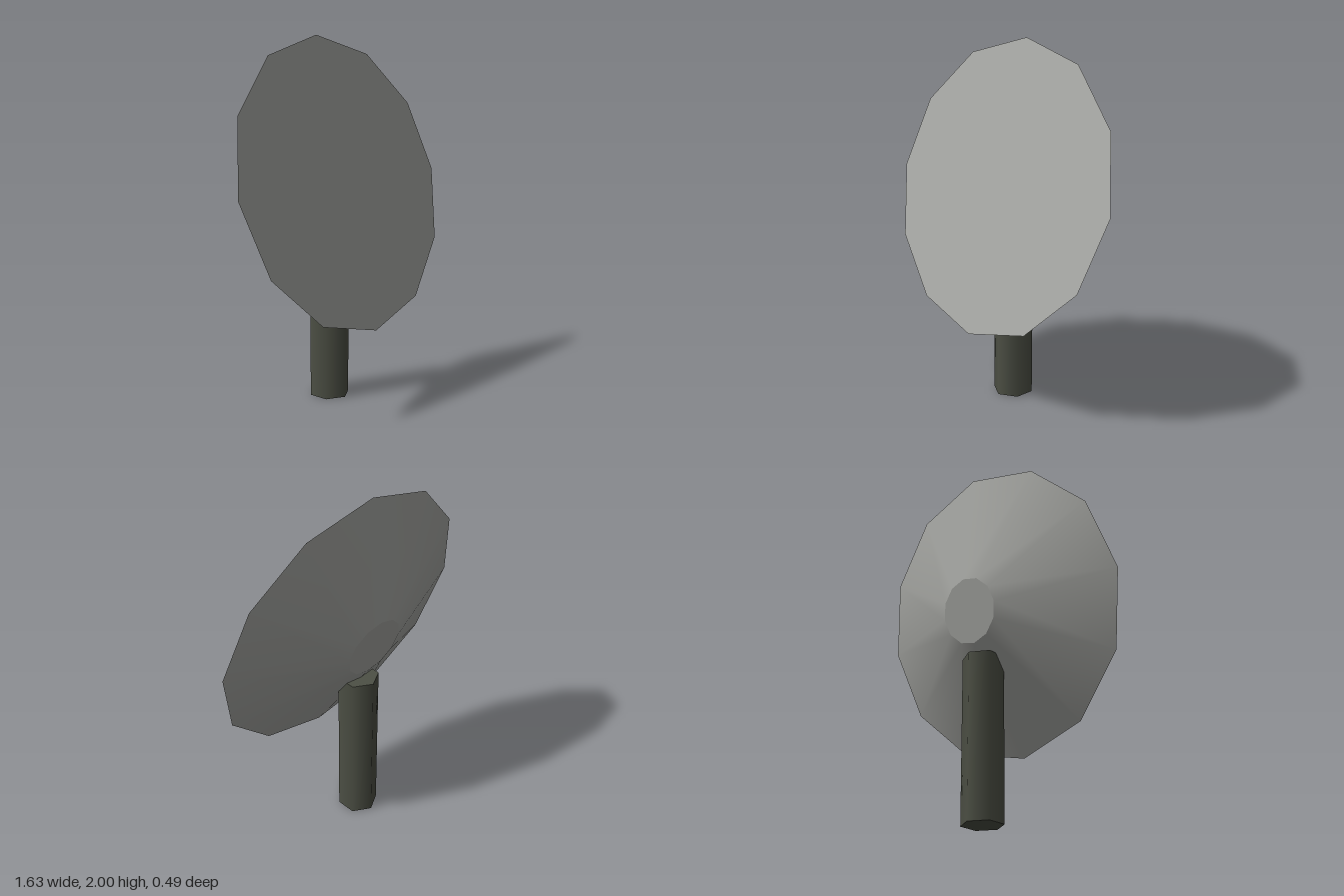
import * as THREE from 'three';

export function createModel() {
  const model = new THREE.Group();
  model.name = 'dishOnPost';

  const dishGrey = new THREE.MeshStandardMaterial({ color: 0xa8a9a5 });
  dishGrey.name = 'dishGrey';
  const postGreen = new THREE.MeshStandardMaterial({ color: 0x4d5045 });
  postGreen.name = 'darkPostGreen';

  // Dish: shallow twelve-sided truncated cone, flat face tipped 15 degrees upward
  const depth = 0.245;
  const dishGeometry = new THREE.CylinderGeometry(0.813, 0.18, depth, 12);
  dishGeometry.translate(0, -depth / 2, 0); // pivot on the rim centre
  const dish = new THREE.Mesh(dishGeometry, dishGrey);
  dish.name = 'dish';
  dish.rotation.x = THREE.MathUtils.degToRad(75);
  dish.position.set(0, 1.215, 0.04);
  model.add(dish);

  // Post: six-sided column running into the back of the dish
  const postHeight = 0.91;
  const post = new THREE.Mesh(new THREE.CylinderGeometry(0.113, 0.113, postHeight, 6), postGreen);
  post.name = 'post';
  post.position.set(0, postHeight / 2, -0.08);
  model.add(post);

  return model;
}
